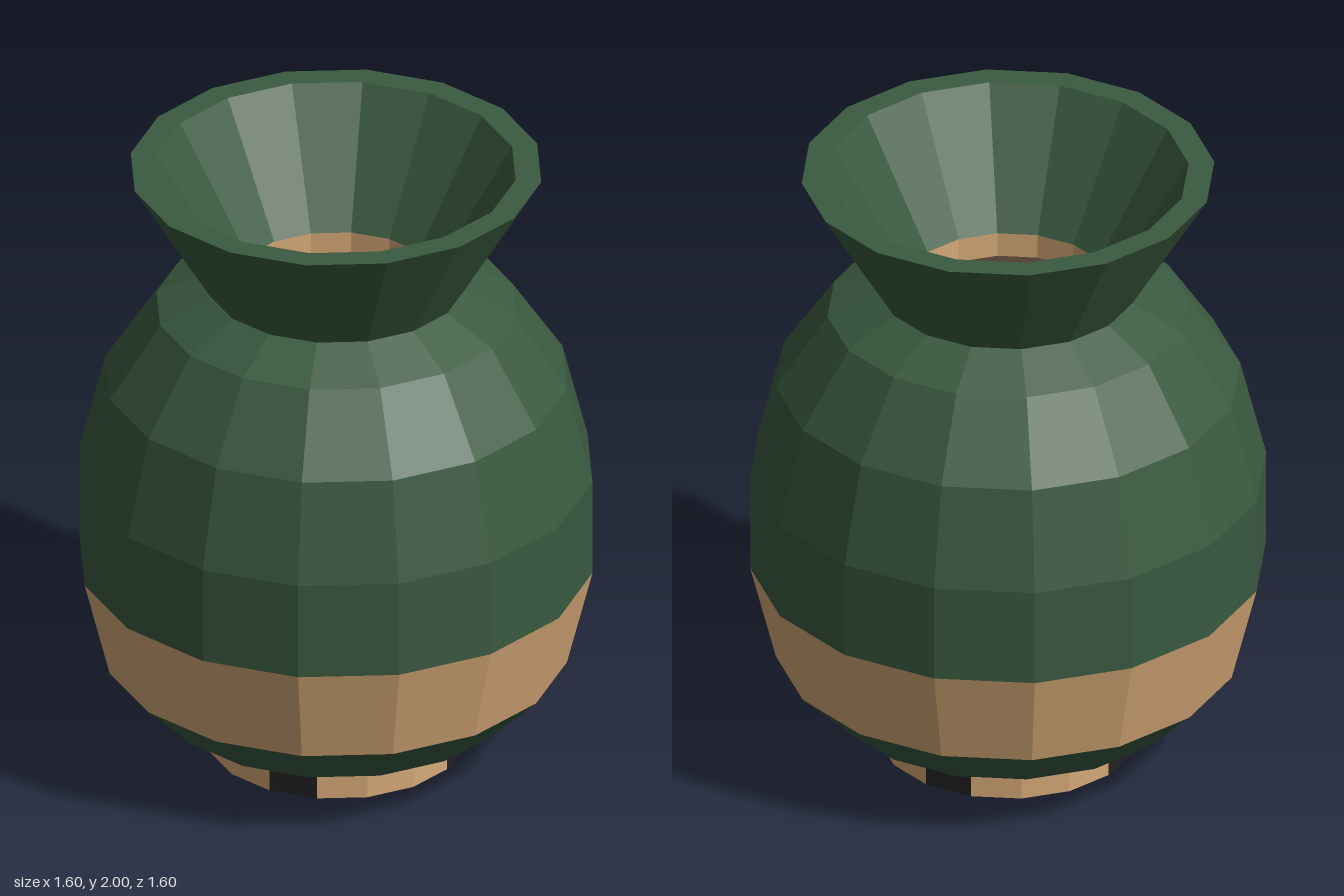
import * as THREE from 'three';

const SIDES = 16;
const STEP = (Math.PI * 2) / SIDES;

function material(name, color) {
  const m = new THREE.MeshStandardMaterial({ color, flatShading: true });
  m.name = name;
  return m;
}

export function createModel() {
  const green = material('dark green', 0x3a5a40);
  const tan = material('tan clay', 0xd6a977);
  const black = material('black', 0x222222);
  const brown = material('soil brown', 0x543f32);

  const model = new THREE.Group();
  model.name = 'vase';

  // Faceted ring turned from a profile of [radius, height] points
  function turn(name, mat, profile, parent = model, first = 0, count = SIDES) {
    const points = profile.map(([r, y]) => new THREE.Vector2(r, y));
    const geometry = new THREE.LatheGeometry(points, count, first * STEP, count * STEP);
    const mesh = new THREE.Mesh(geometry, mat);
    mesh.name = name;
    parent.add(mesh);
  }

  // Foot: four dark notches between tan blocks
  const foot = new THREE.Group();
  foot.name = 'foot';
  model.add(foot);
  turn('footBase', black, [[0, 0], [0.32, 0]], foot);
  for (let i = 0; i < SIDES; i += 4) {
    turn('footNotchInner', black, [[0.32, 0], [0.36, 0]], foot, i, 1);
    turn('footNotchEdge', tan, [[0.36, 0], [0.4, 0]], foot, i, 1);
    turn('footNotch', black, [[0.4, 0], [0.4, 0.08]], foot, i, 1);
    turn('footBlock', tan, [[0.32, 0], [0.4, 0], [0.4, 0.08]], foot, i + 1, 3);
  }

  // Body bands
  turn('bodyBottom', tan, [[0.4, 0.08], [0.56, 0.16]]);
  turn('lowerBand', green, [[0.56, 0.16], [0.72, 0.32]]);
  turn('claybBand'.replace('b', ''), tan, [[0.72, 0.32], [0.8, 0.64]]);
  turn('body', green, [[0.8, 0.64], [0.8, 0.96], [0.72, 1.28], [0.56, 1.52], [0.4, 1.6]]);

  // Flared neck with rim and inside wall
  turn('neck', green, [[0.4, 1.6], [0.64, 2], [0.56, 2], [0.32, 1.6]]);

  // Inside of the mouth
  turn('innerWall', tan, [[0.32, 1.6], [0.32, 1.52]]);
  turn('soil', brown, [[0.32, 1.52], [0, 1.52]]);

  return model;
}
